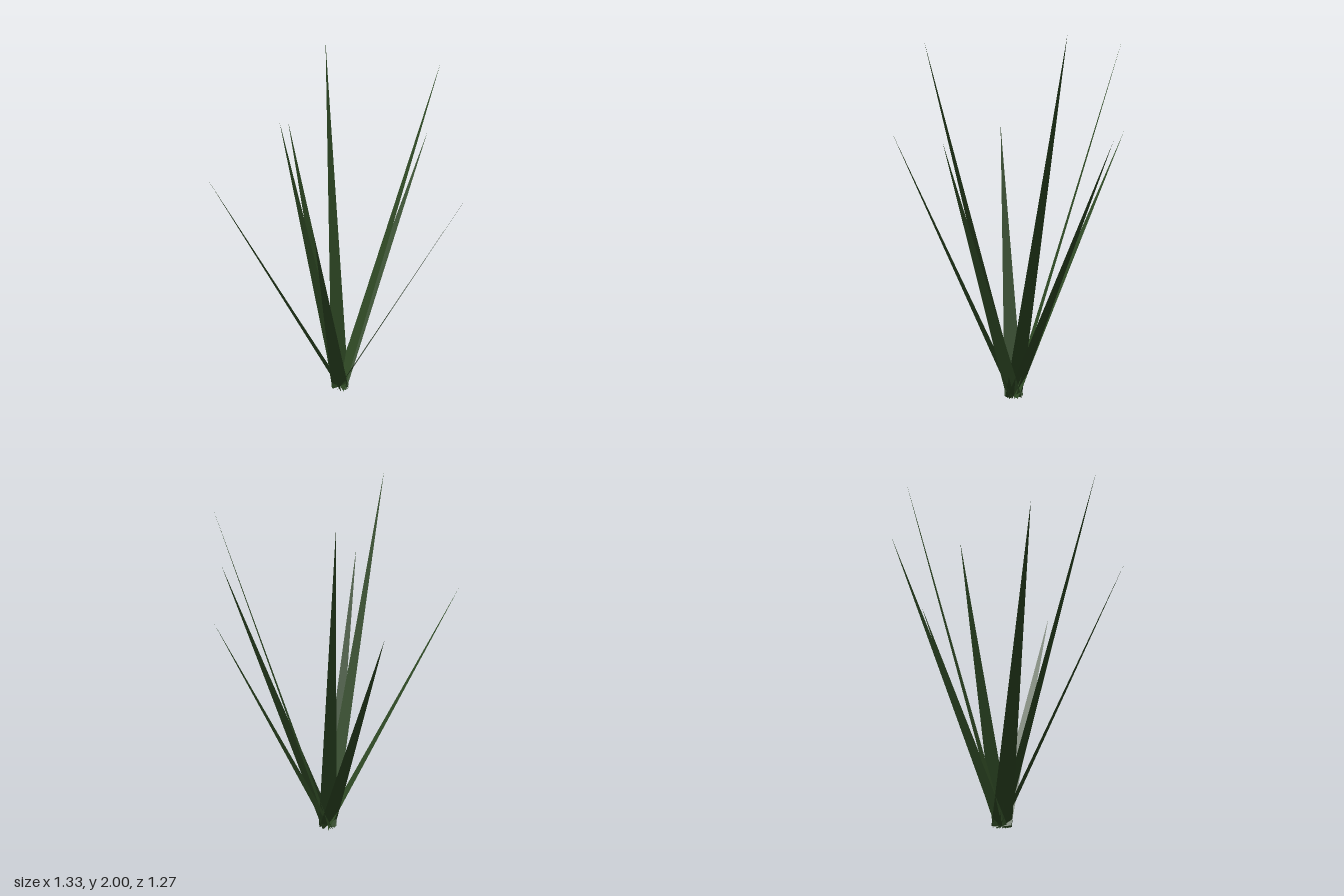
import * as THREE from 'three';

const CENTRE_Z = -0.07;
const HALF_WIDTH = 0.053;

// One flat tapering blade leaning outward along +x from the base point
function bladeGeometry(height, reach) {
  const geometry = new THREE.BufferGeometry();
  geometry.setAttribute('position', new THREE.Float32BufferAttribute([
    0, 0, HALF_WIDTH,
    0, 0, -HALF_WIDTH,
    reach, height, 0,
  ], 3));
  geometry.setIndex([0, 2, 1]);
  geometry.computeVertexNormals();
  return geometry;
}

export function createModel() {
  const plant = new THREE.Group();
  plant.name = 'spikyGrass';
  const leafGreen = new THREE.MeshStandardMaterial({ color: 0x2d4723, side: THREE.DoubleSide });
  leafGreen.name = 'leafGreen';

  // Angles in degrees, measured from +x towards +z
  const rings = [
    { name: 'shortBlade', height: 1.5, reach: 0.7, angles: [18, 90, 162, 234, 306] },
    { name: 'tallBlade', height: 2, reach: 0.585, angles: [-36, 108, -108] },
  ];
  for (const { name, height, reach, angles } of rings) {
    const geometry = bladeGeometry(height, reach);
    angles.forEach((angle, i) => {
      const blade = new THREE.Mesh(geometry, leafGreen);
      blade.name = `${name}${i + 1}`;
      blade.rotation.y = -THREE.MathUtils.degToRad(angle);
      blade.position.z = CENTRE_Z;
      plant.add(blade);
    });
  }
  return plant;
}
